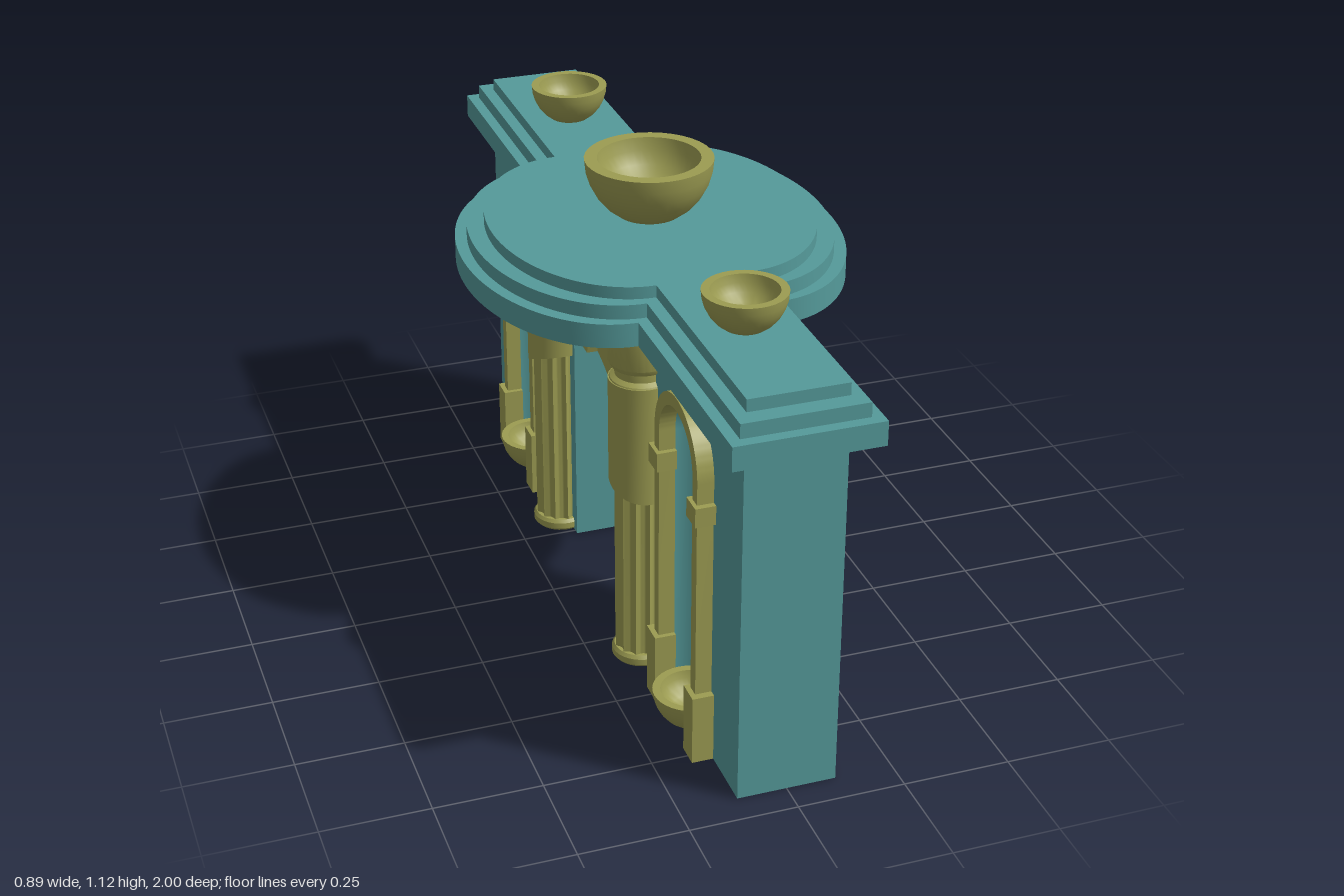
import * as THREE from 'three';
import { toCreasedNormals } from 'three/addons/utils/BufferGeometryUtils.js';
import { ParametricGeometry } from 'three/addons/geometries/ParametricGeometry.js';

const stone = new THREE.MeshStandardMaterial({ color: 0x559a9a });
const stoneThin = new THREE.MeshStandardMaterial({ color: 0x559a9a, side: THREE.DoubleSide });
const trim = new THREE.MeshStandardMaterial({ color: 0x9c9c52 });

const WX = 0.115, WZ = 0.93, WH = 0.865;              // wall half thickness, half length, height
const OPEN = 0.235, ARCH_R = 0.33, ARCH_Y = 0.355;    // central opening
const NZ = 0.623, NW = 0.108, ND = 0.095, NY = 0.70;  // niche centre, half width, depth, spring height
const archA = Math.asin(OPEN / ARCH_R);
const springY = ARCH_Y + ARCH_R * Math.cos(archA);

function add(parent, name, geo, mat, x = 0, y = 0, z = 0) {
  const m = new THREE.Mesh(geo, mat);
  m.name = name;
  m.position.set(x, y, z);
  parent.add(m);
  return m;
}

// Elevation shape (z, y) pushed outward along +x from the wall face
function relief(shape, depth) {
  const g = new THREE.ExtrudeGeometry(shape, { depth, bevelEnabled: false, curveSegments: 28 });
  g.rotateY(Math.PI / 2);
  return toCreasedNormals(g, 0.5);
}

// Stepped cornice outline: a long bar with an elliptical bulge on each side
function cornice(hx, hz, ox, bz, height) {
  const s = new THREE.Shape();
  s.moveTo(-hx, -hz);
  s.lineTo(hx, -hz);
  s.lineTo(hx, -bz);
  s.absellipse(hx, 0, ox - hx, bz, -Math.PI / 2, Math.PI / 2, false);
  s.lineTo(hx, hz);
  s.lineTo(-hx, hz);
  s.lineTo(-hx, bz);
  s.absellipse(-hx, 0, ox - hx, bz, Math.PI / 2, Math.PI * 1.5, false);
  s.closePath();
  const g = new THREE.ExtrudeGeometry(s, { depth: height, bevelEnabled: false, curveSegments: 32 });
  g.rotateX(-Math.PI / 2);
  return toCreasedNormals(g, 0.5);
}

function bowl(r) {
  const p = [[0, 0], [0.5, 0], [0.68, 0.14], [0.82, 0.31], [0.92, 0.5], [0.98, 0.7], [1, 0.9],
    [0.8, 0.9], [0.76, 0.7], [0.66, 0.5], [0.5, 0.34], [0.28, 0.24], [0, 0.2]];
  const pts = p.map(([a, b]) => new THREE.Vector2(a * r, b * r));
  return toCreasedNormals(new THREE.LatheGeometry(pts, 36), 0.7);
}

// Wall face with the arch and both niches cut out
function wallFace() {
  const s = new THREE.Shape();
  const niche = c => {
    s.lineTo(c - NW, 0);
    s.lineTo(c - NW, NY);
    s.absarc(c, NY, NW, Math.PI, 0, true);
    s.lineTo(c + NW, 0);
  };
  s.moveTo(-WZ, 0);
  niche(-NZ);
  s.lineTo(-OPEN, 0);
  s.lineTo(-OPEN, springY);
  s.absarc(0, ARCH_Y, ARCH_R, Math.PI / 2 + archA, Math.PI / 2 - archA, true);
  s.lineTo(OPEN, 0);
  niche(NZ);
  s.lineTo(WZ, 0);
  s.lineTo(WZ, WH);
  s.lineTo(-WZ, WH);
  s.closePath();
  return new THREE.ShapeGeometry(s, 28).rotateY(Math.PI / 2);
}

// Underside of one pier, bitten by the niches
function pierFloor() {
  const s = new THREE.Shape(), h = Math.PI / 2;
  s.moveTo(-WX, OPEN);
  s.lineTo(WX, OPEN);
  s.lineTo(WX, NZ - NW);
  s.absellipse(WX, NZ, ND, NW, -h, h, true);
  s.lineTo(WX, WZ);
  s.lineTo(-WX, WZ);
  s.lineTo(-WX, NZ + NW);
  s.absellipse(-WX, NZ, ND, NW, h, -h, true);
  s.closePath();
  return new THREE.ShapeGeometry(s, 24).rotateX(Math.PI / 2);
}

// Concave niche: half ellipse in plan, closed by a quarter dome
function nicheShell() {
  return new ParametricGeometry((u, v, t) => {
    const a = u * Math.PI, f = Math.max(0, v * 2 - 1) * Math.PI / 2;
    const y = v < 0.5 ? NY * v * 2 : NY + NW * Math.sin(f);
    t.set(-ND * Math.sin(a) * Math.cos(f), y, NW * Math.cos(a) * Math.cos(f));
  }, 24, 24);
}

function nicheFrame() {
  const s = new THREE.Shape(), o = 0.138;
  s.moveTo(-o, 0);
  s.lineTo(-NW, 0);
  s.lineTo(-NW, NY);
  s.absarc(0, NY, NW, Math.PI, 0, true);
  s.lineTo(NW, 0);
  s.lineTo(o, 0);
  s.lineTo(o, NY);
  s.absarc(0, NY, o, 0, Math.PI, false);
  s.closePath();
  return relief(s, 0.038);
}

function archRing() {
  const s = new THREE.Shape(), h = Math.PI / 2;
  const a = Math.asin(0.27 / ARCH_R), b = Math.asin(0.29 / 0.36);
  s.absarc(0, ARCH_Y, ARCH_R, h + a, h - a, true);
  s.absarc(0, 0.415, 0.36, h - b, h + b, false);
  s.closePath();
  return relief(s, 0.035);
}

function keystone() {
  const s = new THREE.Shape([[-0.065, 0.677], [0.065, 0.677], [0.1, 0.8], [-0.1, 0.8]]
    .map(p => new THREE.Vector2(...p)));
  return relief(s, 0.06);
}

// Half-draped column: fluted shaft, slanted sleeve, necked capital
function column(sign) {
  const g = new THREE.Group();
  g.name = 'column';
  const flutes = new THREE.Shape(), n = 12, steps = 96;
  for (let i = 0; i < steps; i++) {
    const a = i / steps * Math.PI * 2, r = 0.063 - 0.009 * Math.abs(Math.sin(a * n / 2));
    flutes[i ? 'lineTo' : 'moveTo'](r * Math.cos(a), r * Math.sin(a));
  }
  flutes.closePath();
  const shaft = new THREE.ExtrudeGeometry(flutes, { depth: 0.52, bevelEnabled: false });
  add(g, 'columnShaft', toCreasedNormals(shaft.rotateX(-Math.PI / 2), 0.6), trim);

  const sleeve = new THREE.CylinderGeometry(0.075, 0.075, 0.26, 32).translate(0, 0.61, 0);
  const p = sleeve.attributes.position;
  for (let i = 0; i < p.count; i++)
    if (p.getY(i) < 0.5) p.setY(i, 0.475 - sign * p.getZ(i) * 0.4);
  add(g, 'columnSleeve', toCreasedNormals(sleeve, 0.5), trim);

  const lathe = pts => toCreasedNormals(
    new THREE.LatheGeometry(pts.map(q => new THREE.Vector2(...q)), 32), 0.5);
  add(g, 'columnCapital', lathe([[0.075, 0.735], [0.071, 0.743], [0.06, 0.75], [0.06, 0.768],
    [0.068, 0.772], [0.075, 0.785], [0.075, WH]]), trim);
  add(g, 'columnBase', lathe([[0, 0], [0.064, 0], [0.07, 0.007], [0.07, 0.022],
    [0.064, 0.03], [0, 0.03]]), trim);
  return g;
}

export function createModel() {
  const model = new THREE.Group();
  model.name = 'archedMonument';

  // Each side is the same assembly turned half a circle
  for (const turn of [0, Math.PI]) {
    const side = new THREE.Group();
    side.name = turn ? 'rightSide' : 'leftSide';
    side.rotation.y = turn;
    add(side, 'wallFace', wallFace(), stoneThin, WX);
    add(side, 'pierFloor', pierFloor(), stoneThin);
    add(side, 'endWall', new THREE.PlaneGeometry(WX * 2, WH), stoneThin, 0, WH / 2, WZ);
    const jamb = new THREE.PlaneGeometry(WX * 2, springY).rotateY(Math.PI);
    add(side, 'archJamb', jamb, stoneThin, 0, springY / 2, OPEN);
    add(side, 'archRing', archRing(), trim, WX);
    add(side, 'keystone', keystone(), trim, WX);
    for (const s of [-1, 1]) {
      const z = s * NZ;
      add(side, 'niche', nicheShell(), stoneThin, WX, 0, z);
      add(side, 'nicheFrame', nicheFrame(), trim, WX, 0, z);
      add(side, 'nicheBowl', bowl(0.09), trim, 0.11, 0.005, z);
      for (const e of [-1, 1]) {
        add(side, 'framePlinth', new THREE.BoxGeometry(0.05, 0.17, 0.058), trim, 0.14, 0.085, z + e * 0.126);
        add(side, 'frameImpost', new THREE.BoxGeometry(0.047, 0.046, 0.056), trim, 0.1385, 0.628, z + e * 0.124);
      }
      const c = column(s);
      c.position.set(0.13, 0, s * 0.325);
      side.add(c);
    }
    model.add(side);
  }

  // Curved underside of the central arch
  add(model, 'archSoffit', new ParametricGeometry((u, v, t) => {
    const a = (u * 2 - 1) * archA;
    t.set((v * 2 - 1) * WX, ARCH_Y + ARCH_R * Math.cos(a), ARCH_R * Math.sin(a));
  }, 24, 1), stoneThin);

  // Three stepped cornice slabs
  add(model, 'lowerCornice', cornice(0.168, 1, 0.445, 0.42, 0.057), stone, 0, 0.865);
  add(model, 'middleCornice', cornice(0.142, 0.974, 0.418, 0.402, 0.034), stone, 0, 0.922);
  add(model, 'upperCornice', cornice(0.113, 0.932, 0.377, 0.38, 0.029), stone, 0, 0.956);

  // Bowls on the roof
  add(model, 'centreBowl', bowl(0.15), trim, 0, 0.985);
  for (const s of [-1, 1]) add(model, 'roofBowl', bowl(0.094), trim, 0, 0.985, s * NZ);
  return model;
}
